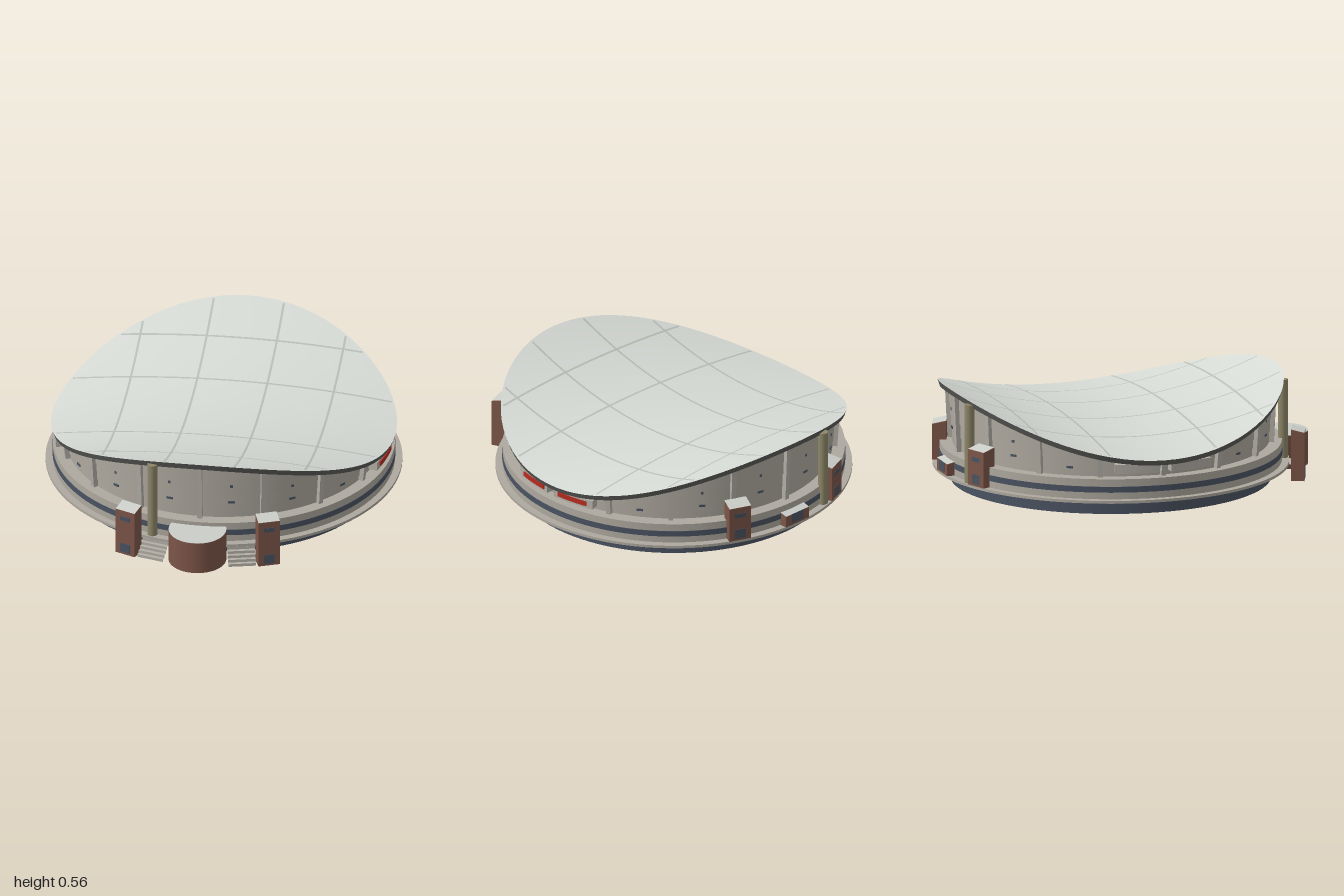
import * as THREE from 'three';
import { toCreasedNormals } from 'three/addons/utils/BufferGeometryUtils.js';

const DEG = Math.PI / 180;
const mat = (color) => new THREE.MeshStandardMaterial({ color, side: THREE.DoubleSide });
const M = {
  roof: mat(0xd6dad5), seam: mat(0xbabeb8), rim: mat(0x5a5a57), ceiling: mat(0x969694),
  wall: mat(0xaea99f), blue: mat(0x4a5362), brick: mat(0x7c5548), tan: mat(0x8e8769),
  red: mat(0xb52b20), column: mat(0xb4b0a7), cap: mat(0xcacdc8),
};

// Saddle: high along local x, low along local z
const roofY = (x, z) => 0.37 + 0.225 * x * x - 0.08 * z * z;
const edgeY = (r, a) => roofY(r * Math.cos(a), r * Math.sin(a));

function mesh(name, geometry, material, parent) {
  const m = new THREE.Mesh(geometry, material);
  m.name = name;
  parent.add(m);
  return m;
}

// Grid surface from a rule f(s, t) -> [x, y, z]
function surface(nu, nv, f) {
  const pos = [], idx = [];
  for (let j = 0; j <= nv; j++)
    for (let i = 0; i <= nu; i++) pos.push(...f(i / nu, j / nv));
  for (let j = 0; j < nv; j++)
    for (let i = 0; i < nu; i++) {
      const a = j * (nu + 1) + i, b = a + 1, c = a + nu + 1, d = c + 1;
      idx.push(a, c, b, b, c, d);
    }
  const g = new THREE.BufferGeometry();
  g.setAttribute('position', new THREE.Float32BufferAttribute(pos, 3));
  g.setIndex(idx);
  g.computeVertexNormals();
  return g;
}

const lathe = (pts) => toCreasedNormals(
  new THREE.LatheGeometry(pts.map(([r, y]) => new THREE.Vector2(r, y)), 96), 30 * DEG);

// Curved block between two radii, heights and angles
function arcBlock(r0, r1, y0, y1, a0, a1) {
  const s = new THREE.Shape();
  s.absarc(0, 0, r1, a0, a1, false);
  s.absarc(0, 0, r0, a1, a0, true);
  return new THREE.ExtrudeGeometry(s, { depth: y1 - y0, bevelEnabled: false, curveSegments: 16 })
    .rotateX(Math.PI / 2).translate(0, y1, 0);
}

// Pivot whose +x points outward at angle a
function spoke(name, a, parent) {
  const g = new THREE.Group();
  g.name = name;
  g.rotation.y = -a;
  parent.add(g);
  return g;
}

// Box from radial, vertical and tangential ranges; drop lowers its outer top edge
function box(name, r0, r1, y0, y1, width, material, parent, drop = 0) {
  const g = new THREE.BoxGeometry(r1 - r0, y1 - y0, width);
  const p = g.attributes.position;
  for (let i = 0; i < p.count; i++)
    if (p.getX(i) > 0 && p.getY(i) > 0) p.setY(i, p.getY(i) - drop);
  g.computeVertexNormals();
  return mesh(name, g.translate((r0 + r1) / 2, (y0 + y1) / 2, 0), material, parent);
}

// Brick block with a pale sloping cap, a door and an optional slit window
function tower(a, r0, r1, y0, y1, width, parent, slit = true) {
  const g = spoke('entranceTower', a, parent), drop = 0.018;
  box('towerBody', r0, r1, y0, y1 - 0.002, width, M.brick, g, drop);
  mesh('towerCap', surface(1, 1, (s, t) => [r0 + (r1 - r0) * s, y1 - drop * s, (t - 0.5) * width]), M.cap, g);
  box('towerDoor', r1 - 0.01, r1 + 0.002, y0 + 0.012, y0 + 0.065, width * 0.5, M.blue, g);
  if (slit) box('towerWindow', r1 - 0.01, r1 + 0.002, y1 - 0.08, y1 - 0.055, width * 0.5, M.blue, g);
}

function buildRoof(parent) {
  const disc = (dy, r0, r1) => surface(96, 20, (s, t) => {
    const r = r0 + (r1 - r0) * t, a = s * 2 * Math.PI;
    return [r * Math.cos(a), edgeY(r, a) + dy, r * Math.sin(a)];
  });
  mesh('roof', disc(0, 0, 0.928), M.roof, parent);
  mesh('ceiling', disc(-0.03, 0, 0.865), M.ceiling, parent);
  mesh('soffit', disc(-0.03, 0.865, 0.918), M.rim, parent);
  mesh('roofRim', surface(96, 1, (s, t) => {
    const a = s * 2 * Math.PI, r = 0.928 - 0.01 * t;
    return [r * Math.cos(a), edgeY(r, a) - 0.03 * t, r * Math.sin(a)];
  }), M.rim, parent);

  // Seams running both ways over the saddle
  const seam = (offset, alongX) => mesh('roofSeam', surface(40, 1, (s, t) => {
    const len = Math.sqrt(0.915 ** 2 - offset ** 2);
    const p = (s * 2 - 1) * len, q = offset + (t - 0.5) * 0.012;
    const [x, z] = alongX ? [p, q] : [q, p];
    return [x, roofY(x, z) + 0.003, z];
  }), M.seam, parent);
  for (const sign of [-1, 1]) {
    for (const u of [0.3, 0.64]) seam(sign * u, false);
    for (const v of [0.19, 0.55]) seam(sign * v, true);
  }
}

function buildWalls(parent) {
  mesh('base', lathe([[0.86, 0], [0.86, 0.079], [0.955, 0.079]]), M.blue, parent);
  mesh('ledge', lathe([[0.955, 0.08], [0.957, 0.08], [0.957, 0.095], [0.918, 0.095]]), M.wall, parent);
  mesh('lowerWall', lathe([[0.918, 0.095], [0.918, 0.205], [0.848, 0.205]]), M.wall, parent);
  mesh('windowBand', lathe([[0.918, 0.132], [0.921, 0.132], [0.921, 0.164], [0.918, 0.164]]), M.blue, parent);

  // Upper wall steps outward in four shallow tiers up to the roof
  const tiers = [[0, 0.851], [0.25, 0.851], [0.25, 0.856], [0.5, 0.856], [0.5, 0.861],
    [0.75, 0.861], [0.75, 0.866], [1, 0.866]];
  mesh('upperWall', toCreasedNormals(surface(96, tiers.length - 1, (s, t) => {
    const [f, r] = tiers[Math.round(t * (tiers.length - 1))];
    const a = s * 2 * Math.PI;
    return [r * Math.cos(a), 0.205 + f * (edgeY(r, a) - 0.235), r * Math.sin(a)];
  }), 30 * DEG), M.wall, parent);

  // Leaning columns, with small windows in the bays between them
  for (let i = 0; i < 16; i++) {
    const a = i * 22.5 * DEG;
    const h = edgeY(0.875, a) - 0.228;
    const col = box('wallColumn', -0.014, 0.014, 0, h, 0.026, M.column, spoke('column', a, parent));
    col.position.set(0.862, 0.2, 0);
    col.rotation.z = -Math.atan2(0.014, h);

    const b = a + 11.25 * DEG, bayH = edgeY(0.866, b) - 0.235;
    const bay = spoke('bayWindows', b, parent);
    const yLow = 0.205 + bayH * 0.32, yHigh = 0.205 + bayH * 0.66;
    box('lowWindow', 0.857, 0.862, yLow - 0.006, yLow + 0.006, 0.035, M.blue, bay);
    if (bayH > 0.2) box('highWindow', 0.862, 0.866, yHigh - 0.007, yHigh + 0.007, 0.014, M.blue, bay);
  }
}

function buildSigns(parent) {
  for (const mid of [90, 270])
    for (const side of [-1, 1]) {
      const arc = (near, far) => [mid + side * near, mid + side * far].sort((p, q) => p - q).map((d) => d * DEG);
      mesh('signPanel', arcBlock(0.862, 0.912, 0.232, 0.282, ...arc(2, 17.5)), M.column, parent);
      if (mid === 90) mesh('redSign', arcBlock(0.9, 0.918, 0.246, 0.272, ...arc(3.4, 15.2)), M.red, parent);
    }
}

function buildEntrances(parent) {
  // Block group on the ledge of one high side
  for (const s of [-1, 1]) tower(s * 22 * DEG, 0.88, 0.957, 0.095, 0.31, 0.125, parent);
  tower(0, 0.88, 0.957, 0.095, 0.178, 0.17, parent, false);

  // Open rotunda wall outside the hall, closed by a flat cap
  const rotunda = spoke('rotunda', Math.PI, parent);
  const R = 0.155, half = 108 * DEG;
  mesh('rotundaBody', new THREE.CylinderGeometry(R, R, 0.182, 40, 1, true, Math.PI / 2 - half, half * 2), M.brick, rotunda)
    .position.set(0.955, 0.091, 0);
  const capShape = new THREE.Shape();
  capShape.absarc(0, 0, R, -half, half, false);
  mesh('rotundaCap', new THREE.ShapeGeometry(capShape, 40).rotateX(-Math.PI / 2), M.cap, rotunda)
    .position.set(0.955, 0.184, 0);

  // Stairs and ground level towers on both sides of the rotunda
  const steps = 6;
  for (const s of [-1, 1]) {
    tower(Math.PI + s * 22 * DEG, 0.97, 1.043, 0, 0.285, 0.118, parent);
    const stairs = spoke('stairs', Math.PI + s * 14 * DEG, parent);
    mesh('steps', toCreasedNormals(surface(1, steps * 2, (u, t) => {
      const k = Math.round(t * steps * 2);
      return [1.03 - Math.floor(k / 2) * 0.0187, Math.ceil(k / 2) * 0.0158, (u - 0.5) * 0.15];
    }), 30 * DEG), M.column, stairs);
  }

  // One tall round pillar on each high side
  for (const deg of [-16, 196]) {
    const a = deg * DEG, top = 0.525;
    mesh('roundPillar', new THREE.CylinderGeometry(0.027, 0.027, top - 0.09, 24), M.tan, spoke('pillar', a, parent))
      .position.set(0.924, (top + 0.09) / 2, 0);
  }
}

export function createModel() {
  const model = new THREE.Group();
  model.name = 'arena';
  // Turned so the saddle's high axis lies diagonal to the front
  const hall = new THREE.Group();
  hall.name = 'hall';
  hall.rotation.y = 29.5 * DEG;
  hall.position.x = 0.043;
  model.add(hall);
  buildRoof(hall);
  buildWalls(hall);
  buildSigns(hall);
  buildEntrances(hall);
  return model;
}
